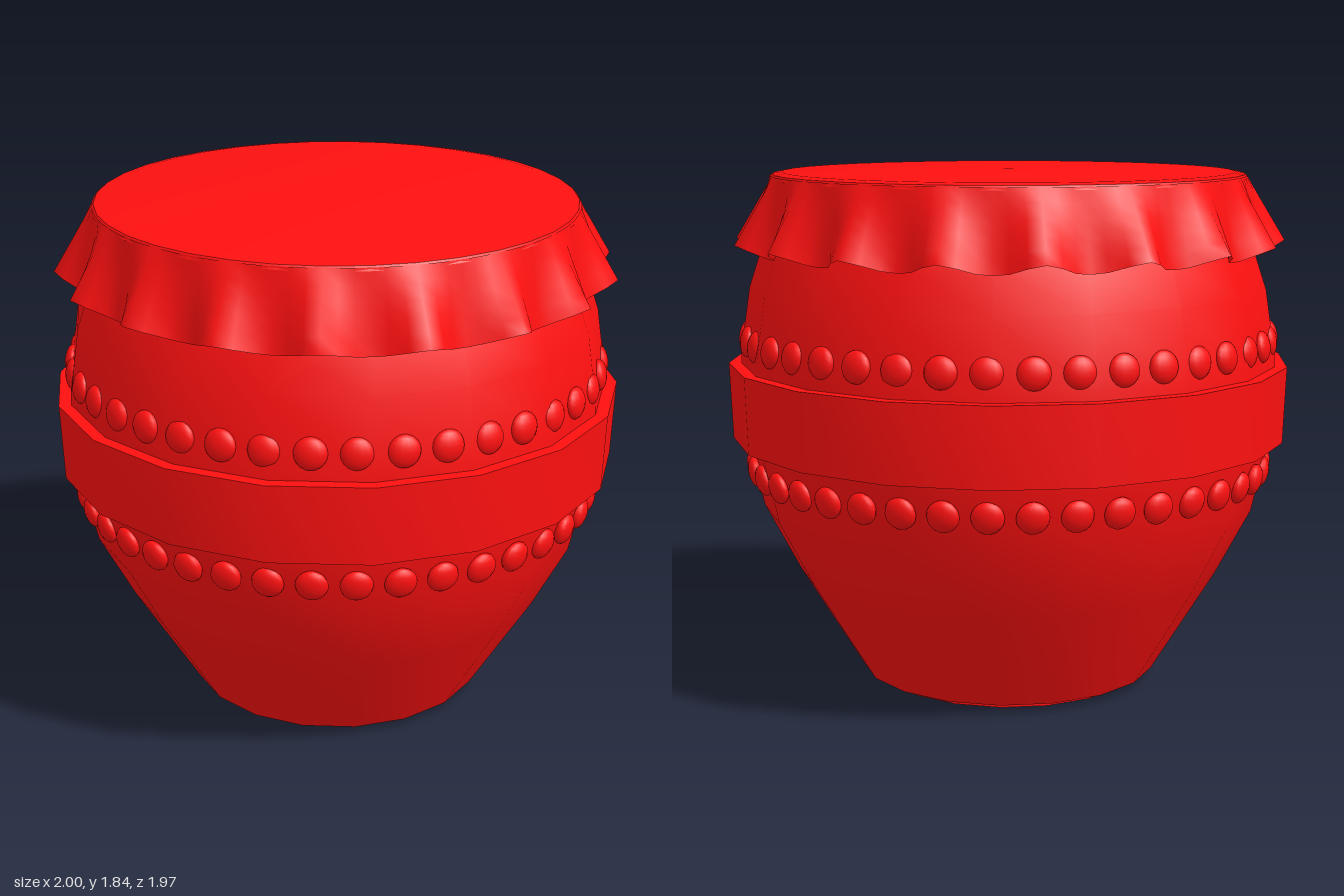
import * as THREE from 'three';
import { mergeVertices, toCreasedNormals } from 'three/addons/utils/BufferGeometryUtils.js';

const SIDES = 18;
const red = new THREE.MeshStandardMaterial({ color: 0xff1010 });
const redCloth = new THREE.MeshStandardMaterial({ color: 0xff1010, side: THREE.DoubleSide });

// Turned shape with a corner on the x axis; sharp edges where the profile bends hard
function turned(name, profile, sides = SIDES) {
  const points = profile.map(([r, y]) => new THREE.Vector2(r, y));
  const geometry = new THREE.LatheGeometry(points, sides, Math.PI / 2);
  geometry.deleteAttribute('normal');
  geometry.deleteAttribute('uv');
  const mesh = new THREE.Mesh(toCreasedNormals(mergeVertices(geometry), 0.6), red);
  mesh.name = name;
  return mesh;
}

// Ring of flattened studs, tilted to follow the jar wall
function studRing(name, radius, y, tilt, count = 40) {
  const ring = new THREE.Group();
  ring.name = name;
  const geometry = new THREE.SphereGeometry(0.055, 14, 10).scale(1, 1, 0.5);
  for (let i = 0; i < count; i++) {
    const a = (i / count) * Math.PI * 2;
    const stud = new THREE.Mesh(geometry, red);
    stud.name = 'stud';
    stud.position.set(Math.sin(a) * radius, y, Math.cos(a) * radius);
    stud.rotation.set(tilt, a, 0, 'YXZ');
    ring.add(stud);
  }
  return ring;
}

// Pleated cloth skirt: pleats swing outward and lift toward the hem
function clothSkirt() {
  const rows = 5;
  const points = [];
  for (let i = 0; i <= rows; i++) points.push(new THREE.Vector2(1, 1 - i / rows));
  points.reverse();
  let geometry = new THREE.LatheGeometry(points, SIDES * 6);
  geometry.deleteAttribute('normal');
  geometry.deleteAttribute('uv');
  const p = geometry.attributes.position;
  for (let i = 0; i < p.count; i++) {
    const a = Math.atan2(p.getX(i), p.getZ(i));
    const t = 1 - p.getY(i);
    const pleat = Math.pow(0.5 + 0.5 * Math.cos(SIDES * a), 1.5);
    const r = 0.84 + t * (0.05 + 0.09 * pleat);
    p.setXYZ(i, Math.sin(a) * r, 1.82 - t * (0.27 - 0.04 * pleat), Math.cos(a) * r);
  }
  geometry = mergeVertices(geometry);
  geometry.computeVertexNormals();
  const mesh = new THREE.Mesh(geometry, redCloth);
  mesh.name = 'clothSkirt';
  return mesh;
}

export function createModel() {
  const jar = new THREE.Group();
  jar.name = 'jar';

  // Jar
  jar.add(turned('foot', [[0, 0], [0.47, 0], [0.47, 0.05]]));
  jar.add(turned('body', [
    [0, 0.03], [0.535, 0.03], [0.76, 0.4], [0.885, 0.64], [0.935, 0.86],
    [0.96, 1.05], [0.955, 1.2], [0.92, 1.43], [0.87, 1.58], [0.8, 1.74], [0, 1.76],
  ]));

  // Raised band with a row of studs above and below
  jar.add(turned('band', [[0.92, 0.89], [0.99, 0.89], [1, 1.16], [0.93, 1.16]]));
  jar.add(studRing('upperStuds', 0.935, 1.25, -0.1));
  jar.add(studRing('lowerStuds', 0.918, 0.785, 0.18));

  // Cloth cover
  jar.add(turned('clothTop', [[0.845, 1.81], [0.835, 1.825], [0.8, 1.832], [0, 1.84]], 36));
  jar.add(clothSkirt());
  return jar;
}
